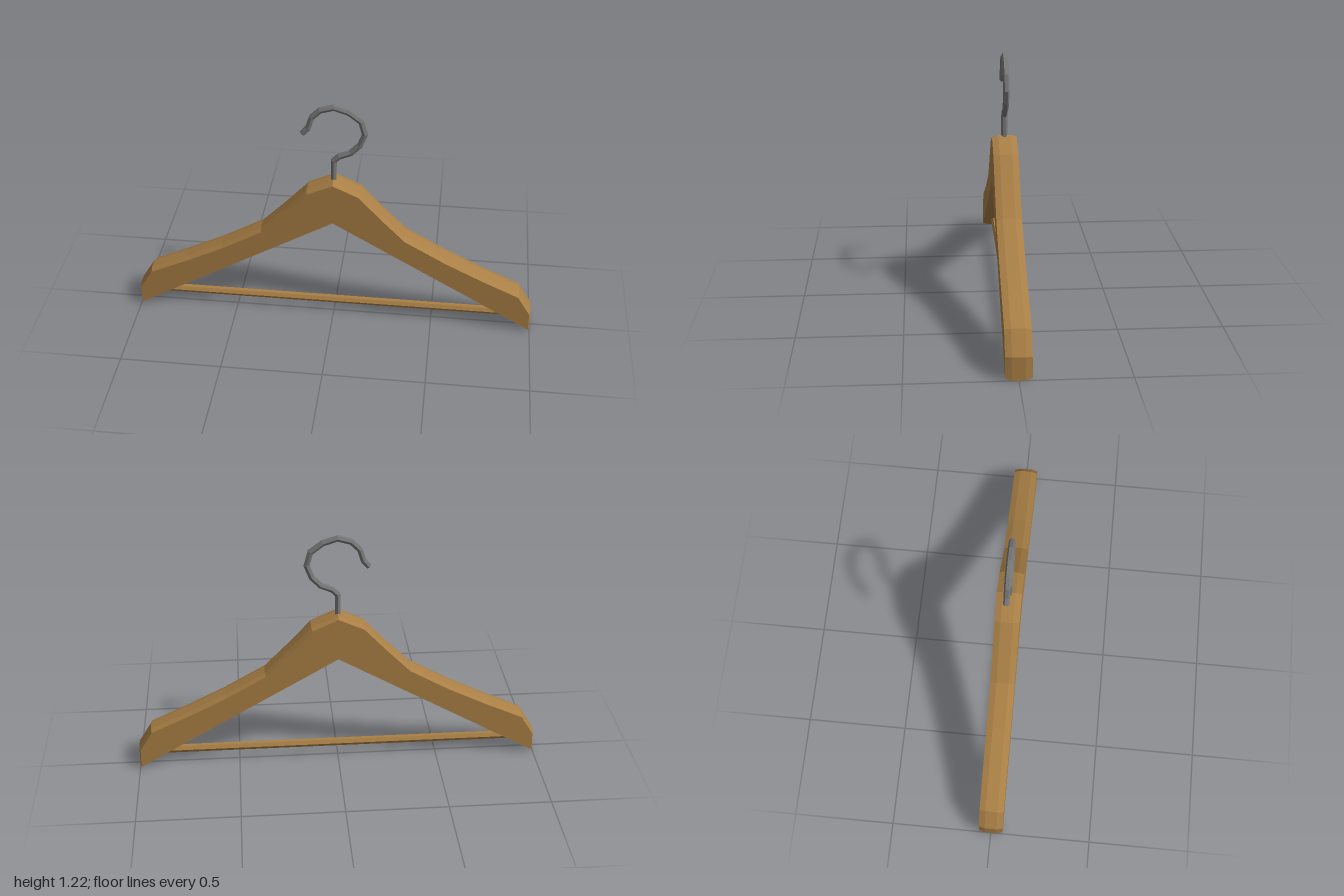
import * as THREE from 'three';

const wood = new THREE.MeshStandardMaterial({ color: 0xa97f45, flatShading: true });
const metal = new THREE.MeshStandardMaterial({ color: 0x777777, flatShading: true });

// Sweeps a regular polygon along a path in the xy plane with mitred joints
function sweep(path, radius, sides) {
  const pts = path.map(([x, y]) => new THREE.Vector2(x, y));
  const last = pts.length - 1;
  const dir = (i) => pts[i + 1].clone().sub(pts[i]).normalize();
  const pos = [], idx = [];
  pts.forEach((p, i) => {
    const before = dir(Math.max(i - 1, 0));
    const after = dir(Math.min(i, last - 1));
    const t = before.clone().add(after).normalize();
    const r = radius / t.dot(after);
    for (let j = 0; j < sides; j++) {
      const a = (j / sides) * Math.PI * 2 + Math.PI / 2;
      pos.push(p.x - t.y * Math.cos(a) * r, p.y + t.x * Math.cos(a) * r, Math.sin(a) * radius);
    }
  });
  for (let i = 0; i < last; i++) {
    for (let j = 0; j < sides; j++) {
      const k = (j + 1) % sides;
      const a = i * sides + j, b = i * sides + k, c = b + sides, d = a + sides;
      idx.push(a, b, d, b, c, d);
    }
  }
  // end caps
  const end = last * sides;
  for (let j = 1; j < sides - 1; j++) idx.push(0, j + 1, j, end, end + j, end + j + 1);
  const geo = new THREE.BufferGeometry();
  geo.setAttribute('position', new THREE.Float32BufferAttribute(pos, 3));
  geo.setIndex(idx);
  const flat = geo.toNonIndexed();
  flat.computeVertexNormals();
  return flat;
}

function part(name, geometry, material) {
  const mesh = new THREE.Mesh(geometry, material);
  mesh.name = name;
  return mesh;
}

export function createModel() {
  const group = new THREE.Group();
  group.name = 'coatHanger';

  // Wooden shoulders: half outline from the top centre to the lower tip, mirrored
  const half = [
    [0.13, 0.755], [0.24, 0.635], [0.36, 0.512], [0.56, 0.397],
    [0.75, 0.302], [0.935, 0.216], [1, 0.11], [1, 0],
  ];
  const outline = [
    [0, 0.815], ...half, [0, 0.58],
    ...half.map(([x, y]) => [-x, y]).reverse(),
  ].map(([x, y]) => new THREE.Vector2(x, y));
  const body = new THREE.ExtrudeGeometry(new THREE.Shape(outline), {
    depth: 0.06, bevelEnabled: true, bevelThickness: 0.03,
    bevelSize: 0.008, bevelOffset: -0.008, bevelSegments: 1,
  });
  body.translate(0, 0, -0.03);
  group.add(part('shoulders', body, wood));

  // Trouser bar
  group.add(part('trouserBar', sweep([[-0.92, 0.073], [0.92, 0.073]], 0.02, 6), wood));

  // Metal hook
  const hookPath = [
    [0, 0.78], [0, 0.914], [0.027, 0.941], [0.08, 0.963], [0.123, 1.008],
    [0.147, 1.07], [0.128, 1.139], [0.07, 1.184], [0, 1.206], [-0.064, 1.187],
    [-0.104, 1.147], [-0.123, 1.088], [-0.15, 1.056],
  ];
  group.add(part('hook', sweep(hookPath, 0.015, 6), metal));

  return group;
}
